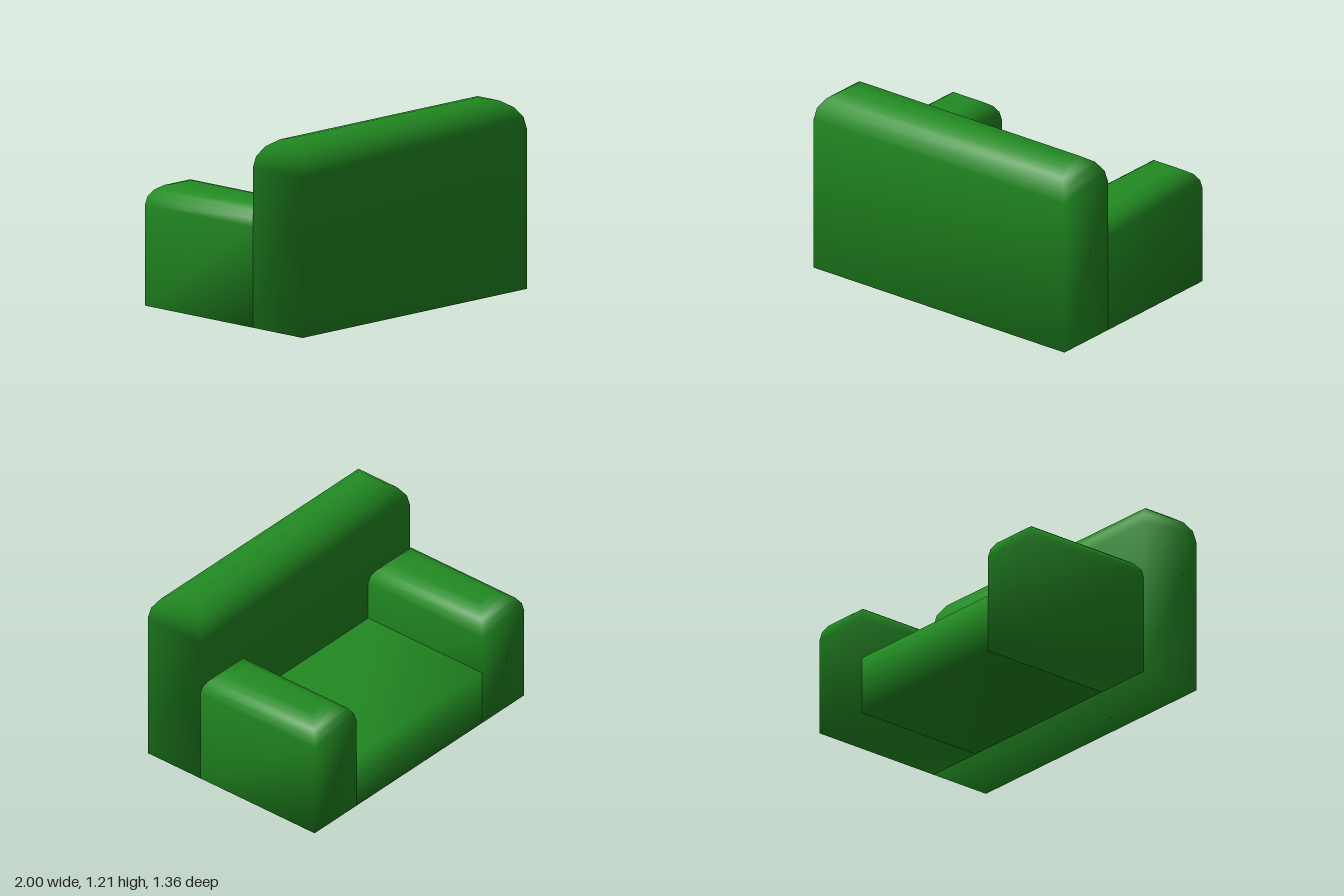
import * as THREE from 'three';

const material = new THREE.MeshStandardMaterial({ color: 0x228b22 });
const SEAT_HEIGHT = 0.375;

function smoothMesh(name, positions, indices) {
  const geometry = new THREE.BufferGeometry();
  geometry.setAttribute('position', new THREE.Float32BufferAttribute(positions, 3));
  geometry.setIndex(indices);
  geometry.computeVertexNormals();
  const mesh = new THREE.Mesh(geometry, material);
  mesh.name = name;
  return mesh;
}

// Upright block whose top edges curve inwards on all four sides
function roundedTopBlock(name, x0, x1, z0, z1, height, radius, steps = 4) {
  const positions = [];
  const indices = [];
  const addRing = (inset, y) => positions.push(
    x0 + inset, y, z1 - inset, x1 - inset, y, z1 - inset,
    x1 - inset, y, z0 + inset, x0 + inset, y, z0 + inset);

  addRing(0, 0);
  for (let i = 0; i <= steps; i++) {
    const a = (i / steps) * Math.PI / 2;
    addRing(radius * (1 - Math.cos(a)), height - radius + radius * Math.sin(a));
  }
  for (let ring = 0; ring <= steps; ring++) {
    for (let k = 0; k < 4; k++) {
      const a = ring * 4 + k;
      const b = ring * 4 + (k + 1) % 4;
      indices.push(a, b, b + 4, a, b + 4, a + 4);
    }
  }
  const top = (steps + 1) * 4;
  indices.push(top, top + 1, top + 2, top, top + 2, top + 3);
  indices.push(0, 2, 1, 0, 3, 2);
  return smoothMesh(name, positions, indices);
}

// Seat: a folded strip over the top, front and underside, closed by the arms
function seat() {
  const profile = [[0.25, SEAT_HEIGHT], [-0.68, SEAT_HEIGHT], [-0.68, 0], [0.25, 0]];
  const positions = [];
  const indices = [];
  profile.forEach(([z, y], i) => {
    positions.push(-0.6, y, z, 0.6, y, z);
    if (i > 0) {
      const a = (i - 1) * 2;
      indices.push(a, a + 1, a + 3, a, a + 3, a + 2);
    }
  });
  return smoothMesh('seat', positions, indices);
}

export function createModel() {
  const sofa = new THREE.Group();
  sofa.name = 'sofa';
  sofa.add(
    roundedTopBlock('backrest', -1, 1, 0.25, 0.68, 1.21, 0.195),
    roundedTopBlock('leftArm', 0.6, 1, -0.68, 0.25, 0.775, 0.135),
    roundedTopBlock('rightArm', -1, -0.6, -0.68, 0.25, 0.775, 0.135),
    seat());
  return sofa;
}
